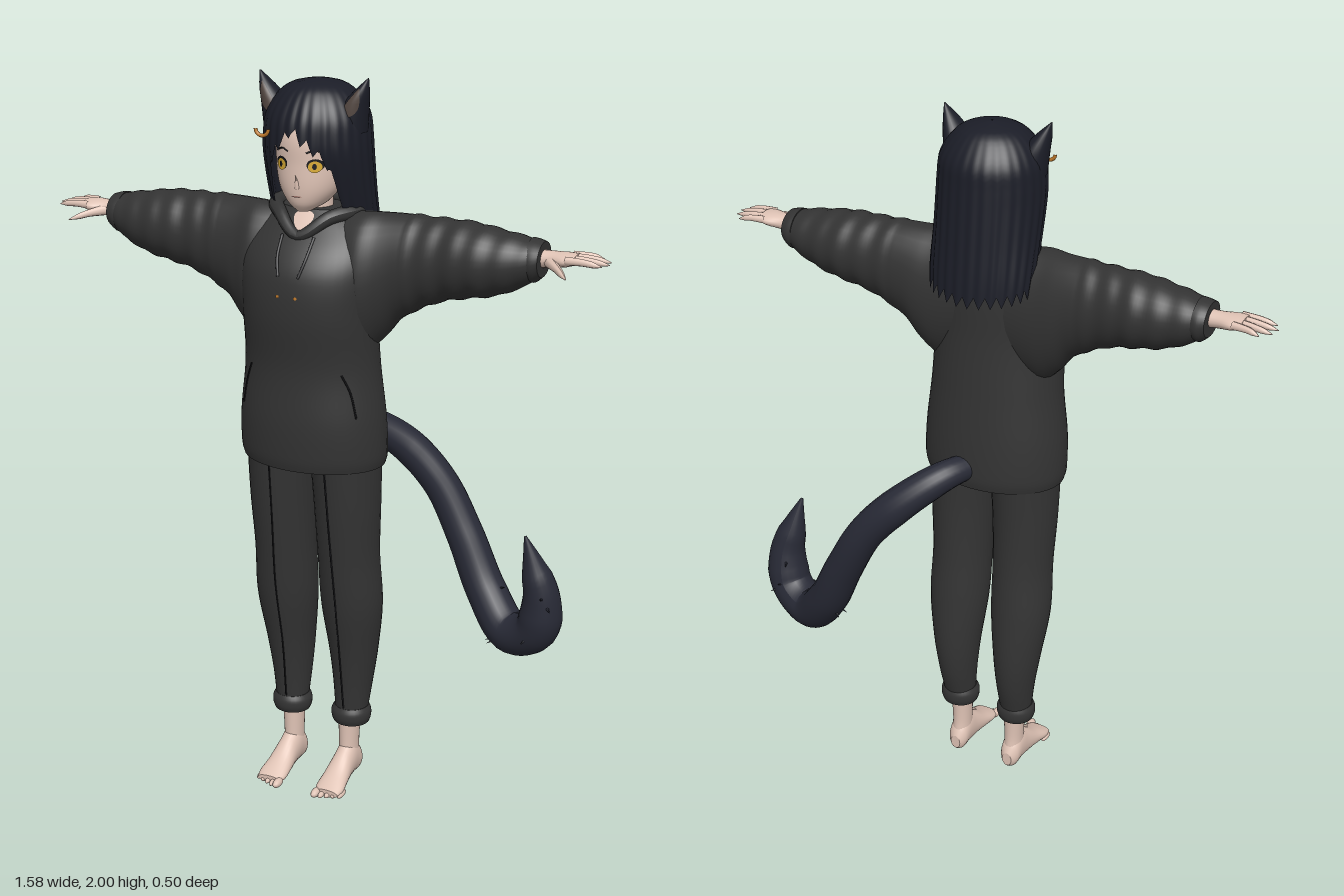
import * as THREE from 'three';

const mat = (name, color, side = THREE.FrontSide) => {
  const m = new THREE.MeshStandardMaterial({ color, side });
  m.name = name;
  return m;
};

// Smooth interpolation of section rows [t, a0, a1, b0, b1]
function at(rows, t) {
  let k = 0;
  while (k < rows.length - 2 && t > rows[k + 1][0]) k++;
  const p = rows[k], q = rows[k + 1], h = q[0] - p[0];
  const s = Math.min(1, Math.max(0, (t - p[0]) / h));
  const a = rows[Math.max(0, k - 1)], d = rows[Math.min(rows.length - 1, k + 2)];
  return p.map((_, i) => {
    const m0 = (q[i] - a[i]) / (q[0] - a[0]) * h, m1 = (d[i] - p[i]) / (d[0] - p[0]) * h;
    const s2 = s * s, s3 = s2 * s;
    return p[i] * (2 * s3 - 3 * s2 + 1) + m0 * (s3 - 2 * s2 + s) + q[i] * (3 * s2 - 2 * s3) + m1 * (s3 - s2);
  });
}

// Elliptical cross-sections stacked along an axis, closed at both ends
function loft(axis, rows, steps = 32, n = 32, ripple = () => 0) {
  const pos = [], idx = [], t0 = rows[0][0], t1 = rows[rows.length - 1][0];
  const levels = [[0, 0], [0, 1]];
  for (let i = 0; i <= steps; i++) levels.push([i / steps, 1]);
  levels.push([1, 1], [1, 0]);
  for (const [f, k] of levels) {
    const t = t0 + (t1 - t0) * f, [, a0, a1, b0, b1] = at(rows, t);
    for (let j = 0; j < n; j++) {
      const th = j / n * Math.PI * 2, r = k * (1 + ripple(t, th));
      const a = (a0 + a1) / 2 + (a1 - a0) / 2 * Math.cos(th) * r;
      const b = (b0 + b1) / 2 + (b1 - b0) / 2 * Math.sin(th) * r;
      pos.push(...(axis === 'y' ? [a, t, b] : axis === 'x' ? [t, a, b] : [a, b, t]));
    }
  }
  for (let i = 0; i < levels.length - 1; i++) for (let j = 0; j < n; j++) {
    const p = i * n + j, q = i * n + (j + 1) % n, u = p + n, v = q + n;
    if (axis === 'y') idx.push(p, u, q, q, u, v);
    else idx.push(p, q, u, q, v, u);
  }
  return build(pos, idx);
}

function build(pos, idx) {
  const g = new THREE.BufferGeometry();
  g.setAttribute('position', new THREE.Float32BufferAttribute(pos, 3));
  g.setIndex(idx);
  g.computeVertexNormals();
  return g;
}

// Front surface depth of a vertical loft
function frontZ(rows, x, y) {
  const [, a0, a1, b0, b1] = at(rows, y), u = (x - (a0 + a1) / 2) / ((a1 - a0) / 2);
  return (b0 + b1) / 2 + (b1 - b0) / 2 * Math.sqrt(Math.max(0, 1 - u * u));
}

// Thin plate lying on the front of a loft
function patch(rows, map, lift = 0.003) {
  const g = new THREE.RingGeometry(0.001, 1, 24, 4), p = g.attributes.position;
  for (let i = 0; i < p.count; i++) {
    const [x, y] = map(p.getX(i), p.getY(i));
    p.setXYZ(i, x, y, frontZ(rows, x, y) + lift);
  }
  g.computeVertexNormals();
  return g;
}
const oval = (cx, cy, w, h) => (u, v) => [cx + u * w, cy + v * h];

// Tube of changing radius
function taper(points, radii, seg = 16, n = 10, closed = false) {
  const c = new THREE.CatmullRomCurve3(points.map(p => new THREE.Vector3(...p)), closed);
  const g = new THREE.TubeGeometry(c, seg, 1, n, closed), p = g.attributes.position, v = new THREE.Vector3();
  for (let i = 0; i < p.count; i++) {
    const f = Math.floor(i / (n + 1)) / seg, o = c.getPointAt(f), k = f * (radii.length - 1);
    const j = Math.min(radii.length - 2, Math.floor(k));
    v.fromBufferAttribute(p, i).sub(o).multiplyScalar(radii[j] + (radii[j + 1] - radii[j]) * (k - j)).add(o);
    p.setXYZ(i, v.x, v.y, v.z);
  }
  g.computeVertexNormals();
  return g;
}
const line = (rows, pts, r = 0.003) => taper(pts.map(([x, y]) => [x, y, frontZ(rows, x, y) + 0.001]), [r, r], 16, 6);

function mirrored(geo) {
  const g = geo.clone().scale(-1, 1, 1), ix = g.index.array;
  for (let i = 0; i < ix.length; i += 3) [ix[i], ix[i + 1]] = [ix[i + 1], ix[i]];
  return g;
}

const TORSO = [
  [0.975, -0.2, 0.2, -0.055, 0.23], [1.0, -0.206, 0.206, -0.06, 0.236], [1.1, -0.204, 0.204, -0.055, 0.24],
  [1.25, -0.188, 0.188, -0.04, 0.233], [1.4, -0.186, 0.186, -0.025, 0.25], [1.5, -0.19, 0.19, -0.02, 0.243],
  [1.56, -0.185, 0.185, -0.015, 0.215], [1.62, -0.155, 0.155, -0.01, 0.165], [1.66, -0.1, 0.1, 0, 0.13]];
const SLEEVE = [
  [0.06, 1.32, 1.65, -0.01, 0.16], [0.15, 1.29, 1.66, -0.018, 0.185], [0.2, 1.33, 1.66, -0.02, 0.167],
  [0.245, 1.385, 1.66, -0.018, 0.155], [0.35, 1.44, 1.658, -0.02, 0.145], [0.43, 1.46, 1.655, -0.028, 0.15],
  [0.5, 1.475, 1.645, -0.02, 0.142], [0.57, 1.505, 1.633, -0.008, 0.125], [0.6, 1.525, 1.627, 0, 0.11]];
const LEG = [
  [0.2, 0.048, 0.138, 0, 0.09], [0.3, 0.04, 0.15, -0.025, 0.1], [0.4, 0.03, 0.165, -0.035, 0.115],
  [0.55, 0.014, 0.184, -0.03, 0.145], [0.7, 0.012, 0.18, -0.02, 0.165], [0.85, 0.008, 0.185, -0.02, 0.185],
  [1.02, 0, 0.187, -0.03, 0.205]];
const HEAD = [
  [1.66, -0.018, 0.018, 0.12, 0.165], [1.68, -0.05, 0.05, 0.06, 0.18], [1.72, -0.08, 0.08, 0.02, 0.187],
  [1.78, -0.097, 0.097, -0.02, 0.186], [1.85, -0.1, 0.1, -0.04, 0.182], [1.92, -0.08, 0.08, -0.02, 0.15]];
const HAIR = [
  [1.53, -0.14, 0.14, -0.105, 0.1], [1.6, -0.145, 0.145, -0.1, 0.12], [1.7, -0.145, 0.145, -0.09, 0.165],
  [1.8, -0.145, 0.145, -0.08, 0.198], [1.85, -0.143, 0.143, -0.075, 0.2], [1.9, -0.135, 0.135, -0.068, 0.19],
  [1.95, -0.102, 0.102, -0.035, 0.158], [1.975, -0.062, 0.062, 0, 0.12], [1.986, -0.002, 0.002, 0.058, 0.062]];
const EAR = [
  [1.86, 0.05, 0.143, 0.03, 0.125], [1.92, 0.075, 0.148, 0.04, 0.122], [1.96, 0.11, 0.152, 0.06, 0.112],
  [1.997, 0.15, 0.153, 0.085, 0.09]];

// Hair shell: short fringe in front, long sides and back, pointed locks along the edge
function hairShell() {
  const n = 168, m = 28, pos = [], idx = [];
  const hem = [[-180, 1.545], [-100, 1.56], [-52, 1.6], [-44, 1.63], [-38, 1.77], [-24, 1.815], [-5, 1.865],
    [10, 1.835], [24, 1.81], [36, 1.77], [44, 1.63], [52, 1.6], [100, 1.56], [180, 1.545]];
  for (let i = 0; i <= m; i++) for (let j = 0; j < n; j++) {
    const deg = j / n * 360 - 180, ph = deg * Math.PI / 180;
    let k = 0;
    while (k < hem.length - 2 && deg > hem[k + 1][0]) k++;
    const [d0, y0] = hem[k], [d1, y1] = hem[k + 1];
    const lock = Math.abs((j % 6) - 3) / 3, f = i / m;
    const end = y0 + (y1 - y0) * (deg - d0) / (d1 - d0) + 0.03 * lock - 0.01;
    const y = 1.986 - (1.986 - end) * f ** 1.6;
    const [, a0, a1, b0, b1] = at(HAIR, Math.max(1.53, y)), r = 1 - 0.035 * lock * f;
    pos.push(a1 * Math.sin(ph) * r, y, (b0 + b1) / 2 + (b1 - b0) / 2 * Math.cos(ph) * r);
  }
  for (let i = 0; i < m; i++) for (let j = 0; j < n; j++) {
    const p = i * n + j, q = i * n + (j + 1) % n;
    idx.push(p, p + n, q, q, p + n, q + n);
  }
  return build(pos, idx);
}

export function createModel() {
  const root = new THREE.Group();
  root.name = 'catEaredFigure';
  const skin = mat('skin', 0xdfc3b5), hoodie = mat('hoodie charcoal', 0x333333), pants = mat('trouser charcoal', 0x343434);
  const hair = mat('hair black', 0x1b1d27, THREE.DoubleSide), fur = mat('tail fur', 0x282a36);
  const dark = mat('dark line', 0x151518), gold = mat('eye gold', 0xd9ab34), orange = mat('clip orange', 0xc07a2c);
  const inner = mat('inner ear', 0x51453f), lip = mat('lip', 0xa87a70);
  const add = (name, geo, m) => {
    const mesh = new THREE.Mesh(geo, m);
    mesh.name = name;
    root.add(mesh);
  };
  const pair = (name, geo, m) => { add(name + 'Left', geo, m); add(name + 'Right', mirrored(geo), m); };

  // Hoodie
  add('hoodieBody', loft('y', TORSO, 48, 48), hoodie);
  pair('sleeve', loft('x', SLEEVE, 60, 32, (x, th) => x > 0.27 ? 0.022 * Math.sin(x * 95 + Math.sin(th) * 1.5) : 0), hoodie);
  pair('sleeveCuff', loft('x', [[0.585, 1.522, 1.632, -0.004, 0.114], [0.6, 1.52, 1.63, -0.005, 0.115], [0.618, 1.535, 1.625, 0.003, 0.11]], 6), hoodie);
  add('hood', taper([[0, 1.6, 0.18], [0.07, 1.645, 0.14], [0.115, 1.655, 0.06], [0.07, 1.66, -0.02], [0, 1.66, -0.04],
    [-0.07, 1.66, -0.02], [-0.115, 1.655, 0.06], [-0.07, 1.645, 0.14]], [0.014, 0.022, 0.03, 0.022, 0.014], 48, 12, true), hoodie);
  pair('drawstring', line(TORSO, [[0.045, 1.6], [0.04, 1.55], [0.028, 1.505]], 0.004), dark);
  pair('pocketEdge', line(TORSO, [[0.13, 1.25], [0.15, 1.2], [0.165, 1.13]], 0.0025), dark);
  pair('eyelet', patch(TORSO, oval(0.025, 1.455, 0.005, 0.004)), orange);
  add('neckline', patch(TORSO, (u, v) => [u * 0.04 * (0.6 + 0.4 * v), 1.632 + v * 0.026]), skin);

  // Trousers
  pair('trouserLeg', loft('y', LEG, 40, 32), pants);
  pair('trouserCuff', loft('y', [[0.175, 0.042, 0.144, -0.004, 0.094], [0.19, 0.037, 0.149, -0.009, 0.1],
    [0.21, 0.037, 0.149, -0.009, 0.1], [0.225, 0.045, 0.142, -0.004, 0.093]], 10), pants);
  pair('trouserSeam', line(LEG, [[0.09, 0.23], [0.088, 0.4], [0.09, 0.6], [0.085, 0.8], [0.082, 0.97]], 0.0025), dark);

  // Feet
  pair('ankle', loft('y', [[0.05, 0.06, 0.115, 0.005, 0.085], [0.1, 0.06, 0.114, 0.012, 0.082], [0.2, 0.056, 0.12, 0.01, 0.082]], 12, 24), skin);
  pair('foot', loft('z', [[0, 0.072, 0.102, 0.012, 0.055], [0.015, 0.06, 0.115, 0, 0.085], [0.05, 0.057, 0.118, 0, 0.115],
    [0.09, 0.056, 0.12, 0, 0.095], [0.14, 0.051, 0.126, 0, 0.06], [0.18, 0.049, 0.131, 0, 0.038], [0.205, 0.055, 0.125, 0.004, 0.026]], 24, 24), skin);
  for (let i = 0; i < 5; i++) {
    const r = i ? 0.0085 : 0.012;
    pair('toe' + i, new THREE.SphereGeometry(1, 12, 8).scale(r, r, 0.024).translate(0.06 + i * 0.0165, r + 0.001, 0.208 - i * 0.007), skin);
  }

  // Hands
  pair('palm', loft('x', [[0.59, 1.557, 1.605, 0.033, 0.085], [0.64, 1.563, 1.605, 0.03, 0.086], [0.68, 1.57, 1.605, 0.018, 0.1],
    [0.705, 1.578, 1.603, 0.02, 0.098]], 16, 20), skin);
  [[0.026, 0.01, 0.76], [0.048, 0.036, 0.785], [0.07, 0.064, 0.79], [0.091, 0.09, 0.778]].forEach(([z0, z1, x], i) =>
    pair('finger' + i, taper([[0.685, 1.592, z0], [0.73, 1.592, (z0 + z1) / 2], [x, 1.586, z1]], [0.011, 0.01, 0.009, 0.008, 0.001], 14, 8), skin));
  pair('thumb', taper([[0.635, 1.58, 0.07], [0.67, 1.575, 0.11], [0.71, 1.562, 0.155]], [0.015, 0.013, 0.01, 0.008, 0.001], 14, 8), skin);

  // Head and face
  add('neck', loft('y', [[1.58, -0.05, 0.05, 0.02, 0.11], [1.64, -0.042, 0.042, 0.025, 0.11], [1.72, -0.042, 0.042, 0.02, 0.11]], 8, 24), skin);
  add('head', loft('y', HEAD, 36, 40), skin);
  add('nose', new THREE.ConeGeometry(0.009, 0.035, 8).rotateX(0.35).translate(0, 1.742, 0.188), skin);
  add('mouth', patch(HEAD, oval(0, 1.703, 0.014, 0.002)), lip);
  pair('eyeRim', patch(HEAD, oval(0.047, 1.785, 0.02, 0.016)), dark);
  pair('iris', patch(HEAD, oval(0.047, 1.781, 0.016, 0.0145), 0.005), gold);
  pair('pupil', patch(HEAD, oval(0.047, 1.782, 0.005, 0.008), 0.007), dark);
  pair('brow', line(HEAD, [[0.025, 1.815], [0.045, 1.822], [0.066, 1.813]], 0.002), dark);

  // Hair, cat ears and clip
  add('hair', hairShell(), hair);
  pair('ear', loft('y', EAR, 24, 24), hair);
  pair('innerEar', patch(EAR, (u, v) => [0.122 + 0.014 * v + 0.028 * u * (0.6 - 0.4 * v), 1.938 + 0.036 * v]), inner);
  add('hairClip', new THREE.TorusGeometry(0.018, 0.005, 8, 16, Math.PI).rotateZ(Math.PI).translate(-0.092, 1.87, 0.196), orange);

  // Tail with small tufts
  const path = [[0.02, 1.03, -0.03], [0.06, 1.02, -0.1], [0.15, 0.95, -0.17], [0.25, 0.84, -0.195], [0.33, 0.7, -0.19], [0.41, 0.55, -0.165],
    [0.5, 0.462, -0.12], [0.585, 0.5, -0.09], [0.603, 0.6, -0.077], [0.58, 0.7, -0.066], [0.557, 0.785, -0.055]];
  add('tail', taper(path, [0.035, 0.045, 0.05, 0.05, 0.052, 0.055, 0.058, 0.06, 0.06, 0.042, 0.003], 80, 20), fur);
  for (let i = 0; i < 14; i++) {
    const a = i * 2.4, p = new THREE.Vector3(...path[5 + i % 4]);
    const dir = new THREE.Vector3(Math.cos(a), 0.5 * Math.sin(a * 1.7), Math.sin(a)).normalize();
    const cone = new THREE.ConeGeometry(0.006, 0.03, 5).translate(0, 0.06, 0);
    cone.applyQuaternion(new THREE.Quaternion().setFromUnitVectors(new THREE.Vector3(0, 1, 0), dir));
    add('tailTuft' + i, cone.translate(p.x, p.y, p.z), fur);
  }
  return root;
}
